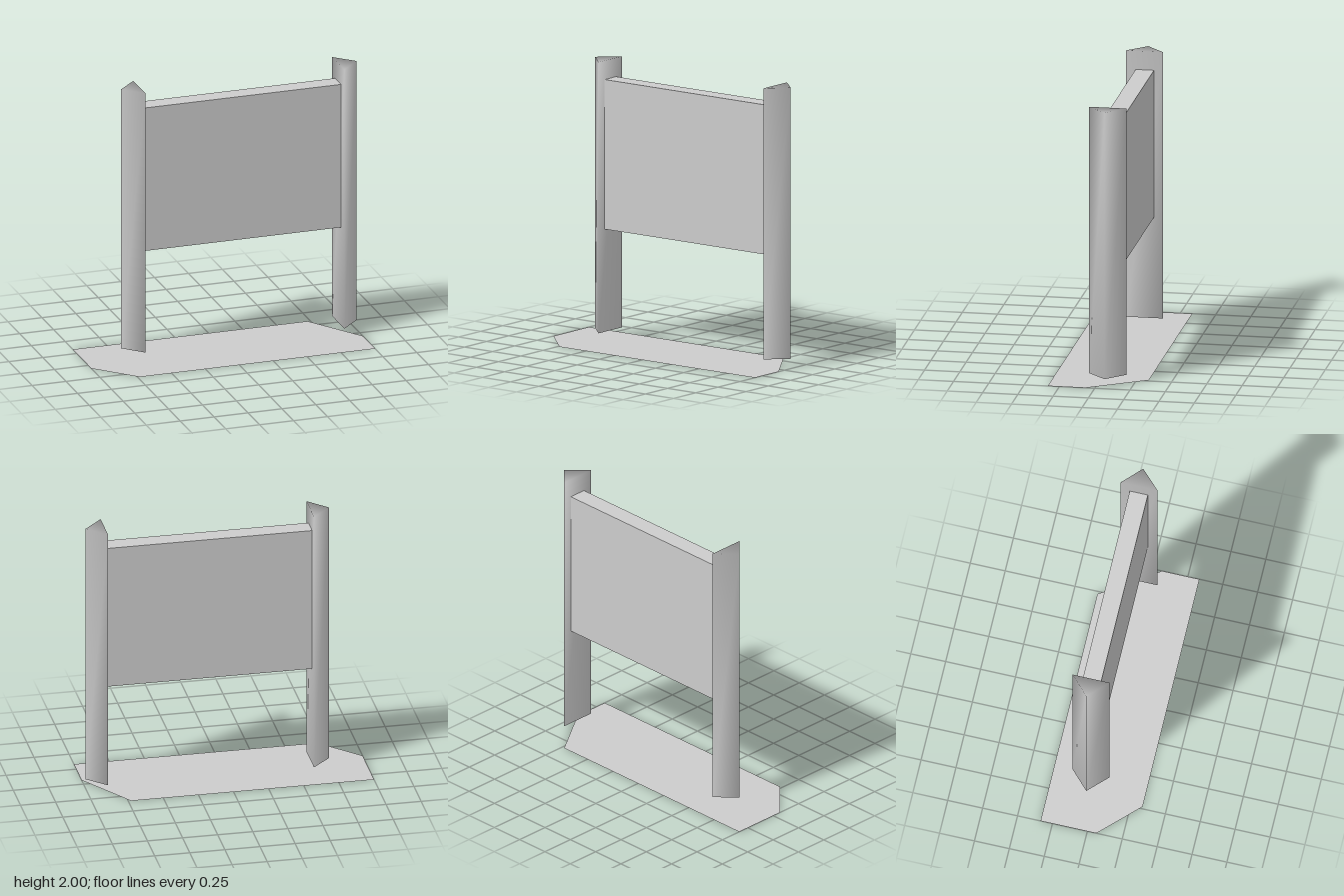
import * as THREE from 'three';

const grey = new THREE.MeshStandardMaterial({ color: 0xcccccc, side: THREE.DoubleSide });
grey.name = 'light grey';

// Triangular post, softly shaded across shared corners; the ridge points along side (+1 or -1)
function makePost(innerX, side) {
  const section = [[innerX, -0.2], [innerX, 0.065], [innerX + side * 0.135, -0.07]];
  if (side < 0) section.reverse();
  const points = [];
  for (const y of [0.07, 2]) for (const [x, z] of section) points.push(x, y, z);
  const faces = [0, 2, 1, 3, 4, 5];
  for (let i = 0; i < 3; i++) {
    const j = (i + 1) % 3;
    faces.push(i, j, j + 3, i, j + 3, i + 3);
  }
  const geometry = new THREE.BufferGeometry();
  geometry.setAttribute('position', new THREE.Float32BufferAttribute(points, 3));
  geometry.setIndex(faces);
  geometry.computeVertexNormals();
  return geometry;
}

export function createModel() {
  const model = new THREE.Group();
  model.name = 'signBoard';
  const add = (name, geometry) => {
    const mesh = new THREE.Mesh(geometry, grey);
    mesh.name = name;
    model.add(mesh);
    return mesh;
  };

  // Flat ground plate with two clipped corners
  const outline = [[-1, -0.335], [-1, 0.065], [-0.735, 0.333], [1, 0.333], [1, 0.065], [0.73, -0.335]];
  const shape = new THREE.Shape(outline.map(([x, z]) => new THREE.Vector2(x, -z)));
  add('groundPlate', new THREE.ShapeGeometry(shape).rotateX(-Math.PI / 2));

  // Board between the posts
  add('board', new THREE.BoxGeometry(1.465, 1.065, 0.13)).position.set(0.1325, 1.333, -0.07);

  // Posts, ridges facing outwards
  add('rightPost', makePost(-0.6, -1));
  add('leftPost', makePost(0.865, 1));
  return model;
}
